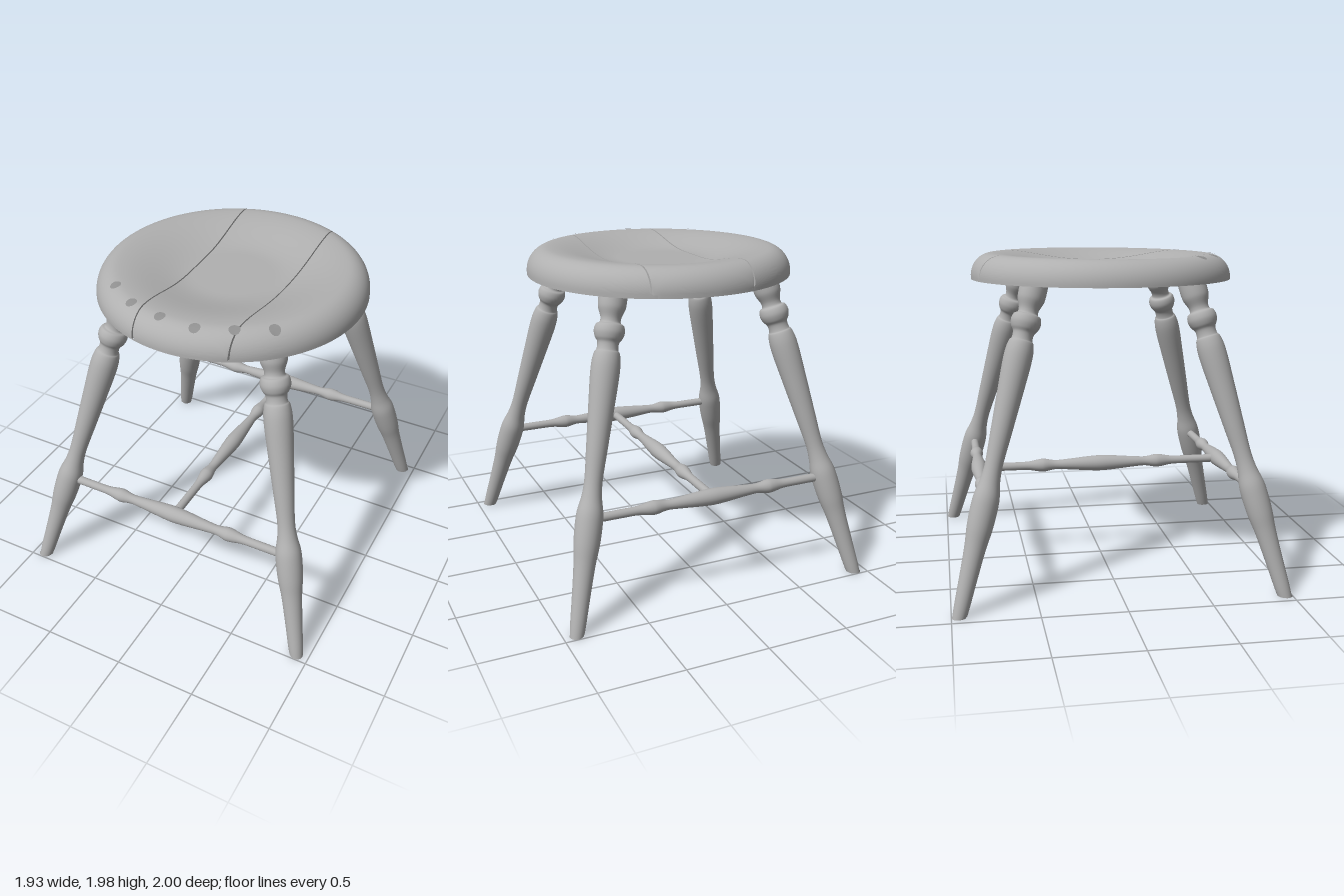
import * as THREE from 'three';
import { toCreasedNormals } from 'three/addons/utils/BufferGeometryUtils.js';

const R = 0.81; // seat radius

// Dished seat with a rounded rim: heights of its upper and lower faces
function topY(x, z) {
  const r = Math.min(Math.hypot(x, z), R);
  const tilt = 0.006 * (x - z);
  if (r > 0.68) return 1.835 + 0.138 * Math.sqrt(Math.max(0, 1 - ((r - 0.68) / 0.13) ** 2)) + tilt;
  return 1.9 + 0.073 * THREE.MathUtils.smoothstep(r, 0.25, 0.68) + tilt;
}
function bottomY(x, z) {
  return 1.787 + 0.033 * THREE.MathUtils.smoothstep(Math.hypot(x, z), 0.35, 0.8);
}

// One plank of the seat between two slanted joints, skinned from sections along z
function plankGeometry(left, right, zMax) {
  const rows = 72, cols = 36, ring = 2 * (cols + 1);
  const pos = [], index = [];
  for (let j = 0; j <= rows; j++) {
    const z = zMax * Math.sin((j / rows - 0.5) * Math.PI);
    const half = Math.sqrt(Math.max(0, R * R - z * z));
    const x0 = THREE.MathUtils.clamp(left(z), -half, half);
    const x1 = THREE.MathUtils.clamp(right(z), -half, half);
    for (let k = 0; k < ring; k++) {
      const upper = k <= cols;
      const t = (upper ? k : ring - 1 - k) / cols;
      const x = x0 + (x1 - x0) * (0.5 - 0.5 * Math.cos(t * Math.PI));
      pos.push(x, upper ? topY(x, z) : bottomY(x, z), z);
    }
  }
  for (let j = 0; j < rows; j++) {
    for (let k = 0; k < ring; k++) {
      const a = j * ring + k, b = j * ring + (k + 1) % ring;
      index.push(a, a + ring, b, b, a + ring, b + ring);
    }
  }
  const g = new THREE.BufferGeometry();
  g.setAttribute('position', new THREE.Float32BufferAttribute(pos, 3));
  g.setIndex(index);
  return toCreasedNormals(g, 0.7);
}

// Turned part: smooth curve through [radius, height] points
function turned(points, samples, segments = 32) {
  const curve = new THREE.CatmullRomCurve3(points.map(([r, y]) => new THREE.Vector3(r, y, 0)), false, 'centripetal');
  const profile = curve.getPoints(samples).map(p => new THREE.Vector2(Math.max(p.x, 0.001), p.y));
  return new THREE.LatheGeometry(profile, segments);
}

// Thin disc that follows a seat face, for the mouth of a drilled hole
function holeDisc(cx, cz, radius, height, up) {
  const g = new THREE.CircleGeometry(radius, 20);
  g.rotateX(up > 0 ? -Math.PI / 2 : Math.PI / 2);
  const p = g.attributes.position;
  for (let i = 0; i < p.count; i++) {
    const x = p.getX(i) + cx, z = p.getZ(i) + cz;
    p.setXYZ(i, x, height(x, z) + up * 0.004, z);
  }
  g.computeVertexNormals();
  return g;
}

export function createModel() {
  const model = new THREE.Group();
  const wood = new THREE.MeshStandardMaterial({ color: 0xb0b0b0 });
  wood.name = 'grey wood';
  const shade = new THREE.MeshStandardMaterial({ color: 0x909090 });
  shade.name = 'hole grey';
  const add = (name, geometry, material = wood) => {
    const mesh = new THREE.Mesh(geometry, material);
    mesh.name = name;
    model.add(mesh);
    return mesh;
  };

  // Seat: three planks with narrow open joints
  const gap = 0.004;
  const jointA = z => -0.238 + 0.021 * z;
  const jointB = z => 0.355 - 0.008 * z;
  add('seatPlankRight', plankGeometry(() => -R, z => jointA(z) - gap, 0.785));
  add('seatPlankMiddle', plankGeometry(z => jointA(z) + gap, z => jointB(z) - gap, R));
  add('seatPlankLeft', plankGeometry(z => jointB(z) + gap, () => R, 0.74));

  // Drilled holes along the front rim
  const holes = [[-0.48, 0.525], [-0.3, 0.645], [-0.085, 0.7], [0.135, 0.71], [0.335, 0.635], [0.52, 0.525]];
  for (const [x, z] of holes) {
    add('rimHole', holeDisc(x, z, 0.032, topY, 1), shade);
    add('rimHoleUnderside', holeDisc(x, z, 0.026, bottomY, -1), shade);
  }

  // Splayed turned legs, cut level with the floor
  const legProfile = [
    [0.038, -0.03], [0.045, 0.04], [0.053, 0.2], [0.064, 0.38], [0.076, 0.48], [0.08, 0.58], [0.077, 0.65],
    [0.06, 0.73], [0.053, 0.81], [0.063, 1.0], [0.076, 1.22], [0.085, 1.4], [0.082, 1.46], [0.072, 1.5],
    [0.064, 1.51], [0.063, 1.55], [0.08, 1.575], [0.09, 1.61], [0.08, 1.645], [0.062, 1.655], [0.06, 1.68],
    [0.079, 1.73], [0.083, 1.76], [0.083, 1.84],
  ];
  const foot = new THREE.Vector3(0.92, 0, 0.955);
  const axis = new THREE.Vector3(-0.435, 1.8, -0.485);
  const stretch = axis.length() / axis.y;
  for (const sx of [1, -1]) {
    for (const sz of [1, -1]) {
      const flip = new THREE.Vector3(sx, 1, sz);
      const dir = axis.clone().multiply(flip).normalize();
      const g = turned(legProfile.map(([r, y]) => [r * 0.98, y * stretch]), 110);
      g.applyQuaternion(new THREE.Quaternion().setFromUnitVectors(new THREE.Vector3(0, 1, 0), dir));
      const start = foot.clone().multiply(flip);
      g.translate(start.x, start.y, start.z);
      const p = g.attributes.position;
      for (let i = 0; i < p.count; i++) p.setY(i, Math.max(0, p.getY(i)));
      add((sz > 0 ? 'front' : 'back') + (sx > 0 ? 'LeftLeg' : 'RightLeg'), g);

      // Flat sole closing the foot
      const sole = new THREE.CircleGeometry(0.043, 24).rotateX(Math.PI / 2);
      add('footSole', sole).position.set(start.x, 0.001, start.z);
    }
  }

  // Stretchers: front and back rails joined by a middle rail
  const halfRail = [[0.05, 0], [0.046, 0.08], [0.034, 0.22], [0.03, 0.3], [0.042, 0.37], [0.04, 0.4], [0.028, 0.47], [0.026, 0.6], [0.026, 0.77]];
  const railProfile = [...halfRail.slice(1).reverse().map(([r, y]) => [r, -y]), ...halfRail];
  const rail = turned(railProfile, 80, 24);
  for (const side of [1, -1]) {
    const mesh = add(side > 0 ? 'frontStretcher' : 'backStretcher', rail);
    mesh.rotation.z = Math.PI / 2;
    mesh.position.set(0, 0.612, side * 0.79);
  }
  const middle = add('middleStretcher', rail);
  middle.rotation.x = Math.PI / 2;
  middle.position.y = 0.612;

  return model;
}
